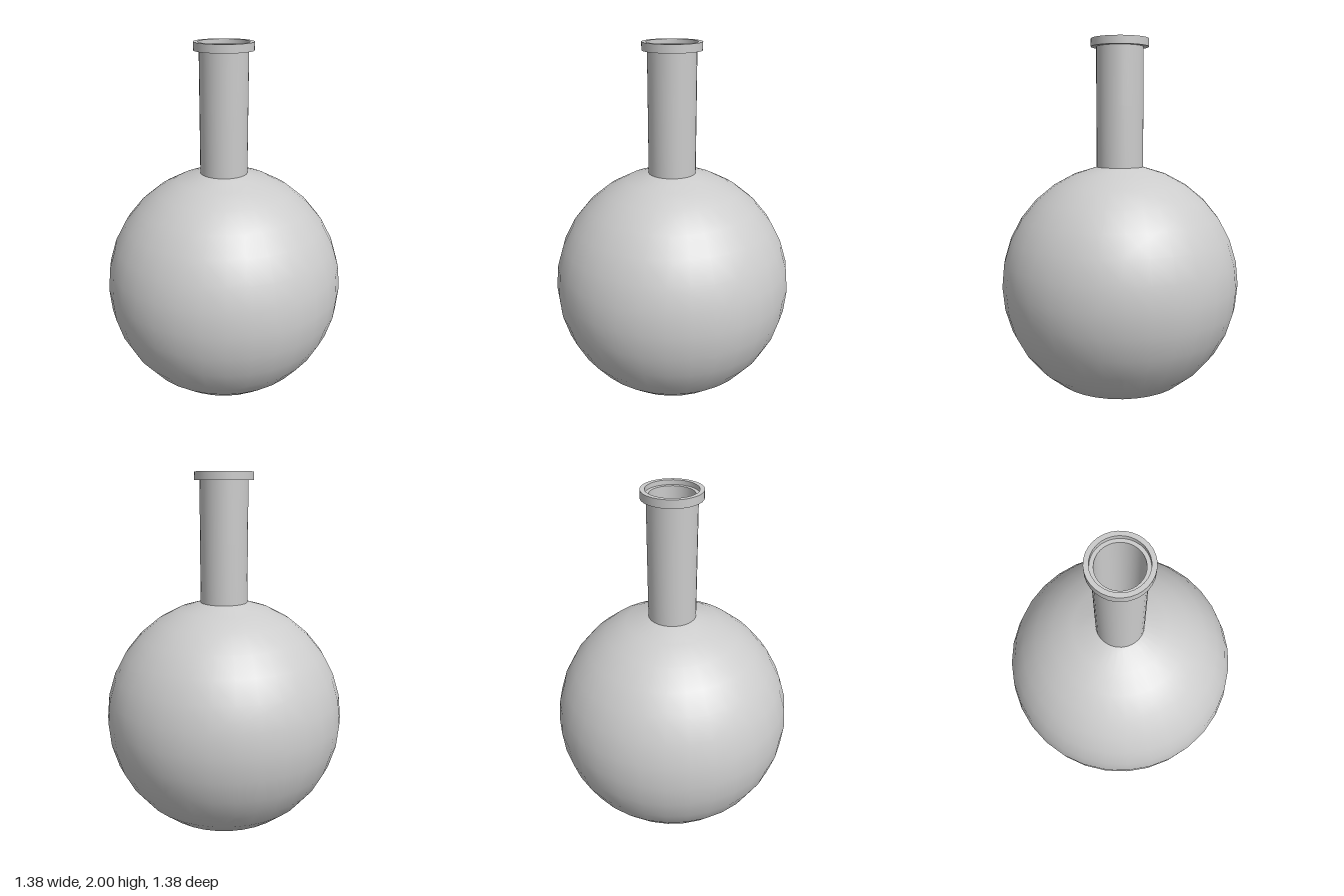
import * as THREE from 'three';
import { mergeGeometries, mergeVertices } from 'three/addons/utils/BufferGeometryUtils.js';

const SIDES = 32, RADIUS = 0.69, CENTRE = 0.6;

// One smooth surface of revolution; rising profiles face outward.
const lathe = (points) =>
  new THREE.LatheGeometry(points.map(([r, y]) => new THREE.Vector2(r, y)), SIDES);

// Globe profile from the flattened base up to the neck opening.
function globeProfile(radius, floor) {
  const points = [[0, floor]];
  for (let k = 14; k >= 1; k--) {
    const a = (k * Math.PI) / 16;
    points.push([radius * Math.sin(a), Math.max(floor, CENTRE + radius * Math.cos(a))]);
  }
  return points;
}

// Break centres: azimuth in degrees from the front toward +x, and height.
const bodySeeds = [
  [13, 0.58], [-36, 0.75], [-8, 0.22], [-45, 0.35], [42, 0.35], [0, 1.0], [27, 1.0],
  [60, 0.98], [84, 0.6], [102, 1.0], [132, 0.8], [128, 0.35], [80, 0.22], [-73, 1.14],
  [-15, 1.2], [45, 1.2], [180, 1.22], [165, 1.08], [-135, 1.07], [180, 0.85], [-85, 0.8],
  [-120, 0.6], [-95, 0.35], [165, 0.5], [-155, 0.45], [-170, 0.2], [40, 0.03], [-140, 0.03],
];
const neckSeeds = [
  [-60, 1.45], [60, 1.45], [180, 1.45], [-40, 1.79], [70, 1.79], [190, 1.79],
];

function seedPoint([azimuth, y], radius) {
  const a = THREE.MathUtils.degToRad(azimuth);
  return new THREE.Vector3(radius * Math.sin(a), y, radius * Math.cos(a));
}

// Keep the part of a polygon on the near side of a plane.
function clip(polygon, plane) {
  const n = plane.normal;
  const side = (v) => v[0] * n.x + v[1] * n.y + v[2] * n.z + plane.constant;
  const kept = [];
  polygon.forEach((a, i) => {
    const b = polygon[(i + 1) % polygon.length];
    const da = side(a), db = side(b);
    if (da <= 0) kept.push(a);
    if ((da < 0 && db > 0) || (da > 0 && db < 0)) {
      const t = da / (da - db);
      kept.push(a.map((value, j) => value + (b[j] - value) * t));
    }
  });
  return kept;
}

// Triangles as corners holding position and normal.
function readTriangles(geometry) {
  const flat = geometry.toNonIndexed();
  const p = flat.attributes.position, n = flat.attributes.normal;
  const triangles = [];
  for (let i = 0; i < p.count; i += 3) {
    triangles.push([i, i + 1, i + 2].map((k) =>
      [p.getX(k), p.getY(k), p.getZ(k), n.getX(k), n.getY(k), n.getZ(k)]));
  }
  return triangles;
}

// The piece of the shell nearest to one seed.
function shardGeometry(triangles, seed, seeds) {
  const planes = seeds.filter((other) => other !== seed).map((other) =>
    new THREE.Plane().setFromNormalAndCoplanarPoint(
      other.clone().sub(seed).normalize(), other.clone().add(seed).multiplyScalar(0.5)));
  const positions = [], normals = [];
  for (const triangle of triangles) {
    let polygon = triangle;
    for (const plane of planes) {
      polygon = clip(polygon, plane);
      if (polygon.length < 3) break;
    }
    for (let i = 1; i + 1 < polygon.length; i++) {
      for (const v of [polygon[0], polygon[i], polygon[i + 1]]) {
        positions.push(v[0], v[1], v[2]);
        normals.push(...new THREE.Vector3(v[3], v[4], v[5]).normalize().toArray());
      }
    }
  }
  const geometry = new THREE.BufferGeometry();
  geometry.setAttribute('position', new THREE.Float32BufferAttribute(positions, 3));
  geometry.setAttribute('normal', new THREE.Float32BufferAttribute(normals, 3));
  return positions.length ? mergeVertices(geometry) : null;
}

export function createModel() {
  const model = new THREE.Group();
  model.name = 'crackedFlask';
  const material = new THREE.MeshStandardMaterial({ color: 0xcccccc });

  // Thin-walled globe and neck, outside and inside
  const outer = globeProfile(RADIUS, 0);
  const inner = globeProfile(RADIUS - 0.015, 0.015).reverse();
  inner[0][0] = 0.12;
  const shell = mergeGeometries([
    lathe(outer),
    lathe([outer[outer.length - 1], [0.135, 1.955]]),
    lathe([[0.12, 1.975], inner[0]]),
    lathe(inner),
  ]);

  // Shards that fit together into the whole shell
  const triangles = readTriangles(shell);
  const body = bodySeeds.map(([a, y]) =>
    seedPoint([a, y], Math.sqrt(RADIUS ** 2 - (y - CENTRE) ** 2)));
  const neck = neckSeeds.map((s) => seedPoint(s, 0.13));
  const seeds = [...body, ...neck];
  for (const [name, list] of [['bodyShard', body], ['neckShard', neck]]) {
    const group = new THREE.Group();
    group.name = name + 's';
    list.forEach((seed, i) => {
      const geometry = shardGeometry(triangles, seed, seeds);
      if (!geometry) return;
      const mesh = new THREE.Mesh(geometry, material);
      mesh.name = name + (i + 1);
      group.add(mesh);
    });
    model.add(group);
  }

  // Lip ring with a shallow step inside, each face kept sharp
  const lip = [[0.133, 1.955], [0.165, 1.955], [0.165, 2], [0.14, 2], [0.14, 1.975], [0.12, 1.975]];
  const faces = lip.slice(1).map((point, i) => lathe([lip[i], point]));
  const rim = new THREE.Mesh(mergeGeometries(faces), material);
  rim.name = 'rim';
  model.add(rim);
  return model;
}
